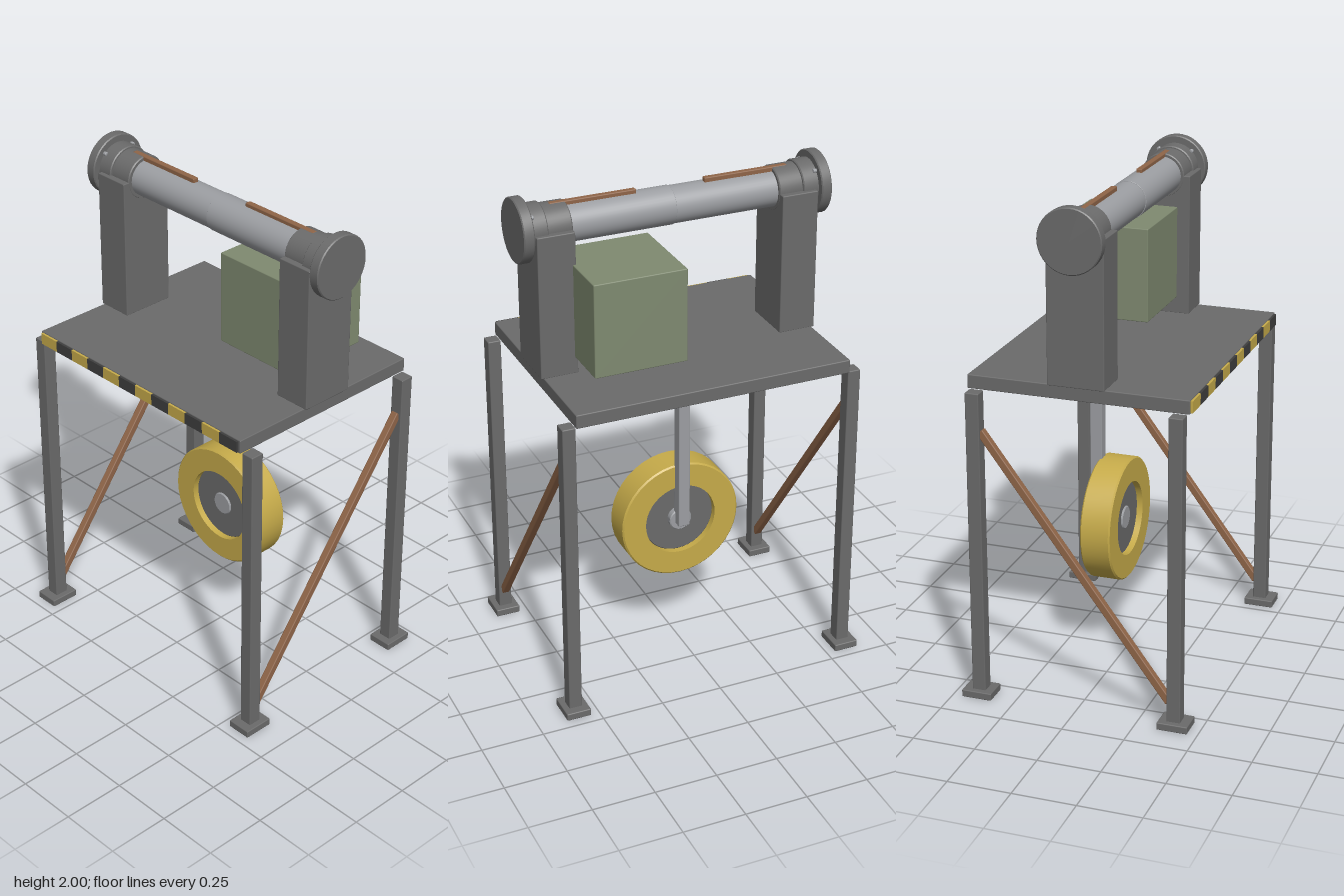
import * as THREE from 'three';
import { toCreasedNormals } from 'three/addons/utils/BufferGeometryUtils.js';
import { RoundedBoxGeometry } from 'three/addons/geometries/RoundedBoxGeometry.js';

const mat = (name, color) => {
  const m = new THREE.MeshStandardMaterial({ color });
  m.name = name;
  return m;
};

export function createModel() {
  const model = new THREE.Group();
  const iron = mat('dark iron', 0x6b6b6b);
  const steel = mat('pale steel', 0x9c9ea2);
  const yellow = mat('safety yellow', 0xc6ab4a);
  const black = mat('stripe black', 0x3f3f3f);
  const copper = mat('copper brown', 0x8f6548);
  const green = mat('cabinet green', 0x7f8a70);

  const add = (name, geometry, material, x, y, z) => {
    const mesh = new THREE.Mesh(geometry, material);
    mesh.name = name;
    mesh.position.set(x, y, z);
    model.add(mesh);
    return mesh;
  };
  const box = (name, material, w, h, d, x, y, z, bevel = 0.004) =>
    add(name, new RoundedBoxGeometry(w, h, d, 1, bevel), material, x, y, z);

  // Solid turned disc along x or z with a small chamfer on both rims
  const disc = (radius, length, axis, c = 0.004) => {
    const h = length / 2;
    const pts = [[0, -h], [radius - c, -h], [radius, -h + c], [radius, h - c], [radius - c, h], [0, h]];
    const geo = new THREE.LatheGeometry(pts.map(p => new THREE.Vector2(...p)), 40);
    if (axis === 'x') geo.rotateZ(-Math.PI / 2); else geo.rotateX(Math.PI / 2);
    return toCreasedNormals(geo, 0.6);
  };

  // Deck with a hazard strip along its front edge
  box('deck', iron, 1.12, 0.055, 0.87, 0, 1.2825, 0);
  const stripe = 1.1 / 12;
  for (let i = 0; i < 12; i++) {
    add('hazardStripe', new THREE.BoxGeometry(stripe, 0.046, 0.009),
      i % 2 ? black : yellow, -0.55 + stripe * (i + 0.5), 1.2825, 0.4395);
  }

  // Shaft line height
  const axisY = 1.875;
  for (const s of [-1, 1]) {
    // Legs and feet
    for (const f of [-1, 1]) {
      box('leg', iron, 0.053, 1.23, 0.055, s * 0.585, 0.64, f * 0.398);
      box('foot', iron, 0.1, 0.03, 0.122, s * 0.585, 0.015, f * 0.4);
    }
    // Diagonal side brace, low at the front and high at the back
    const dy = 1.0, dz = 0.75;
    const brace = box('brace', copper, 0.03, Math.hypot(dy, dz), 0.03, s * 0.585, 0.602, 0);
    brace.rotation.x = -Math.atan2(dz, dy);

    // Bearing pillar, collars and end flange
    box('pillar', iron, 0.15, 0.57, 0.224, s * 0.496, 1.593, 0);
    add('bearingCollar', disc(0.088, 0.1, 'x'), iron, s * 0.47, axisY, 0);
    add('outerCollar', disc(0.096, 0.075, 'x'), iron, s * 0.555, axisY, 0);
    add('endFlange', disc(0.125, 0.043, 'x'), iron, s * 0.602, axisY, 0);
    for (let i = 0; i < 4; i++) {
      const a = Math.PI / 4 + i * Math.PI / 2;
      add('flangeBolt', disc(0.008, 0.016, 'x', 0.002), steel,
        s * 0.574, axisY + 0.097 * Math.sin(a), 0.097 * Math.cos(a));
    }

    // Half of the roller, with a bar laid along its top
    add('rollerHalf', disc(s > 0 ? 0.075 : 0.0725, 0.46, 'x', 0.001), steel, s * 0.23, axisY, 0);
    box('topBar', copper, 0.345, 0.022, 0.024, s * 0.311, 1.953, -0.003);
  }

  // Cabinet beside the right-hand bearing
  box('cabinet', green, 0.372, 0.375, 0.372, 0.248, 1.5625, -0.125);

  // Hanging wheel: rim, recessed hub, axle and hanger
  const wheelY = 0.568, wheelZ = -0.05, half = 0.062, c = 0.006;
  const rimProfile = [
    [0.15, -half], [0.25 - c, -half], [0.25, -half + c], [0.25, half - c],
    [0.25 - c, half], [0.15, half], [0.15, -half],
  ].map(p => new THREE.Vector2(...p));
  const rim = new THREE.LatheGeometry(rimProfile, 40).rotateX(Math.PI / 2);
  add('wheelRim', toCreasedNormals(rim, 0.6), yellow, 0, wheelY, wheelZ);
  add('wheelHub', disc(0.151, 0.076, 'z'), iron, 0, wheelY, wheelZ);
  add('axle', disc(0.047, 0.11, 'z'), steel, 0, wheelY, -0.06);
  box('hanger', steel, 0.048, 0.7, 0.05, 0, 0.906, -0.125);

  return model;
}
